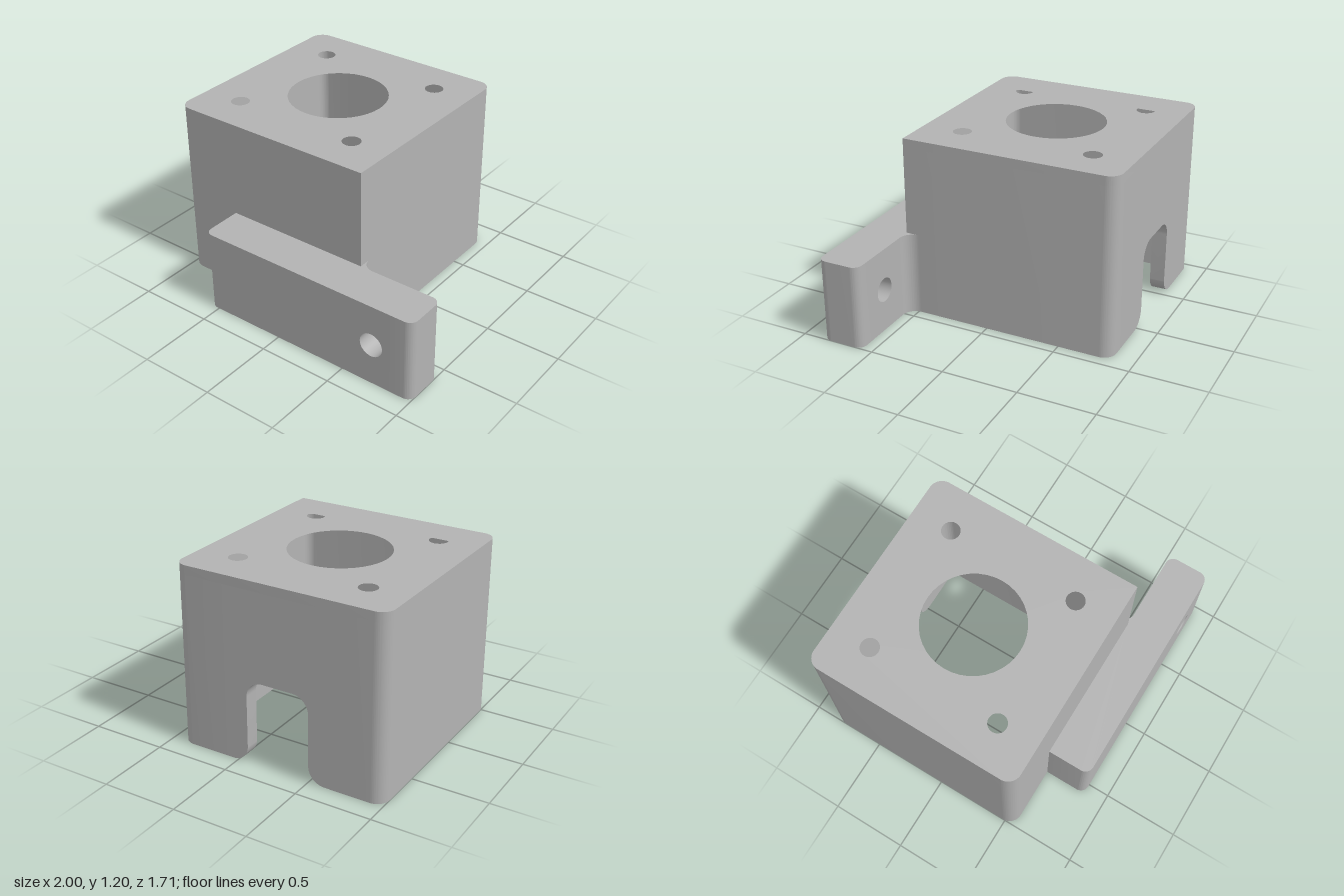
import * as THREE from 'three';
import { toCreasedNormals } from 'three/addons/utils/BufferGeometryUtils.js';

const X0 = -1, X1 = 0.429, Z0 = -0.857, Z1 = 0.571;  // housing footprint
const CX = (X0 + X1) / 2, CZ = (Z0 + Z1) / 2;
const WALL = 0.1, TOP = 1.2, PLATE = 0.06, R = 0.086;
const FLANGE_H = 0.557, FRONT = 0.857;

// Closed outline from [x, y, cornerRadius] points with true arc fillets
function outline(points) {
  const shape = new THREE.Shape();
  const n = points.length;
  points.forEach(([x, y, r], i) => {
    const [px, py] = points[(i + n - 1) % n];
    const [nx, ny] = points[(i + 1) % n];
    const a = new THREE.Vector2(x - px, y - py).normalize();
    const b = new THREE.Vector2(nx - x, ny - y).normalize();
    const sx = x - a.x * r, sy = y - a.y * r;
    if (i === 0) shape.moveTo(sx, sy); else shape.lineTo(sx, sy);
    if (r > 0) {
      const cx = sx + b.x * r, cy = sy + b.y * r;
      shape.absarc(cx, cy, r, Math.atan2(-b.y, -b.x), Math.atan2(a.y, a.x), a.cross(b) < 0);
    }
  });
  shape.closePath();
  return shape;
}

// Plan outlines are given as x, z and become x, -z for the upward extrusion
const plan = (points) => outline(points.map(([x, z, r]) => [x, -z, r]));

function drill(shape, x, y, r) {
  shape.holes.push(new THREE.Path().absarc(x, y, r, 0, Math.PI * 2, true));
}

function extrude(shape, depth) {
  return new THREE.ExtrudeGeometry(shape, { depth, bevelEnabled: false, curveSegments: 20 });
}

export function createModel() {
  const group = new THREE.Group();
  const grey = new THREE.MeshStandardMaterial({ color: 0xb3b3b3 });
  grey.name = 'grey';

  const add = (name, geometry) => {
    const mesh = new THREE.Mesh(toCreasedNormals(geometry, 0.6), grey);
    mesh.name = name;
    group.add(mesh);
  };
  const addUp = (name, shape, y, height) =>
    add(name, extrude(shape, height).rotateX(-Math.PI / 2).translate(0, y, 0));
  const addForward = (name, shape, z, depth) =>
    add(name, extrude(shape, depth).translate(0, 0, z));

  // Top plate with a large bore and four screw holes
  const top = plan([[X0, Z0, R], [X1, Z0, R], [X1, Z1, 0], [X0, Z1, R]]);
  drill(top, CX, -CZ, 0.325);
  for (const sx of [-1, 1]) {
    for (const sz of [-1, 1]) drill(top, CX + sx * 0.443, -(CZ + sz * 0.443), 0.06);
  }
  addUp('topPlate', top, TOP - PLATE, PLATE);

  // Side and front walls, open at the middle of the back
  const xa = CX - 0.36, xb = CX + 0.36, wallH = TOP - PLATE, ri = 0.057;
  const ix0 = X0 + WALL, ix1 = X1 - WALL, iz0 = Z0 + WALL, iz1 = Z1 - WALL;
  addUp('walls', plan([
    [xb, Z0, 0], [X1, Z0, R], [X1, Z1, 0], [X0, Z1, R], [X0, Z0, R], [xa, Z0, 0],
    [xa, iz0, 0], [ix0, iz0, ri], [ix0, iz1, ri], [ix1, iz1, ri], [ix1, iz0, ri], [xb, iz0, 0],
  ]), 0, wallH);

  // Back panel with the cable notch, rounded inside and flared at the foot
  const w = 0.215, rn = 0.11;
  addForward('backPanel', outline([
    [xa, 0, 0], [CX - w, 0, rn], [CX - w, 0.56, rn], [CX + w, 0.56, rn], [CX + w, 0, rn],
    [xb, 0, 0], [xb, wallH, 0], [xa, wallH, 0],
  ]), Z0, WALL);

  // Mounting flange: main bar with the inner fillet, drilled block, rounded end
  const h0 = 0.6, h1 = 0.83, rf = 0.057;
  addUp('flangeBar', plan([
    [-0.571, Z1, 0], [X1, Z1, 0], [X1, Z1 - R, 0], [X1 + 0.0001, Z1, R - 0.0002],
    [h0, Z1, 0], [h0, FRONT, 0], [-0.571, FRONT, rf],
  ]), 0, FLANGE_H);
  const block = outline([[h0, 0, 0], [h1, 0, 0], [h1, FLANGE_H, 0], [h0, FLANGE_H, 0]]);
  drill(block, 0.714, 0.28, 0.08);
  addForward('flangeHoleBlock', block, Z1, FRONT - Z1);
  addUp('flangeEnd', plan([
    [h1, Z1, 0], [1, Z1, rf], [1, FRONT, rf], [h1, FRONT, 0],
  ]), 0, FLANGE_H);

  return group;
}
